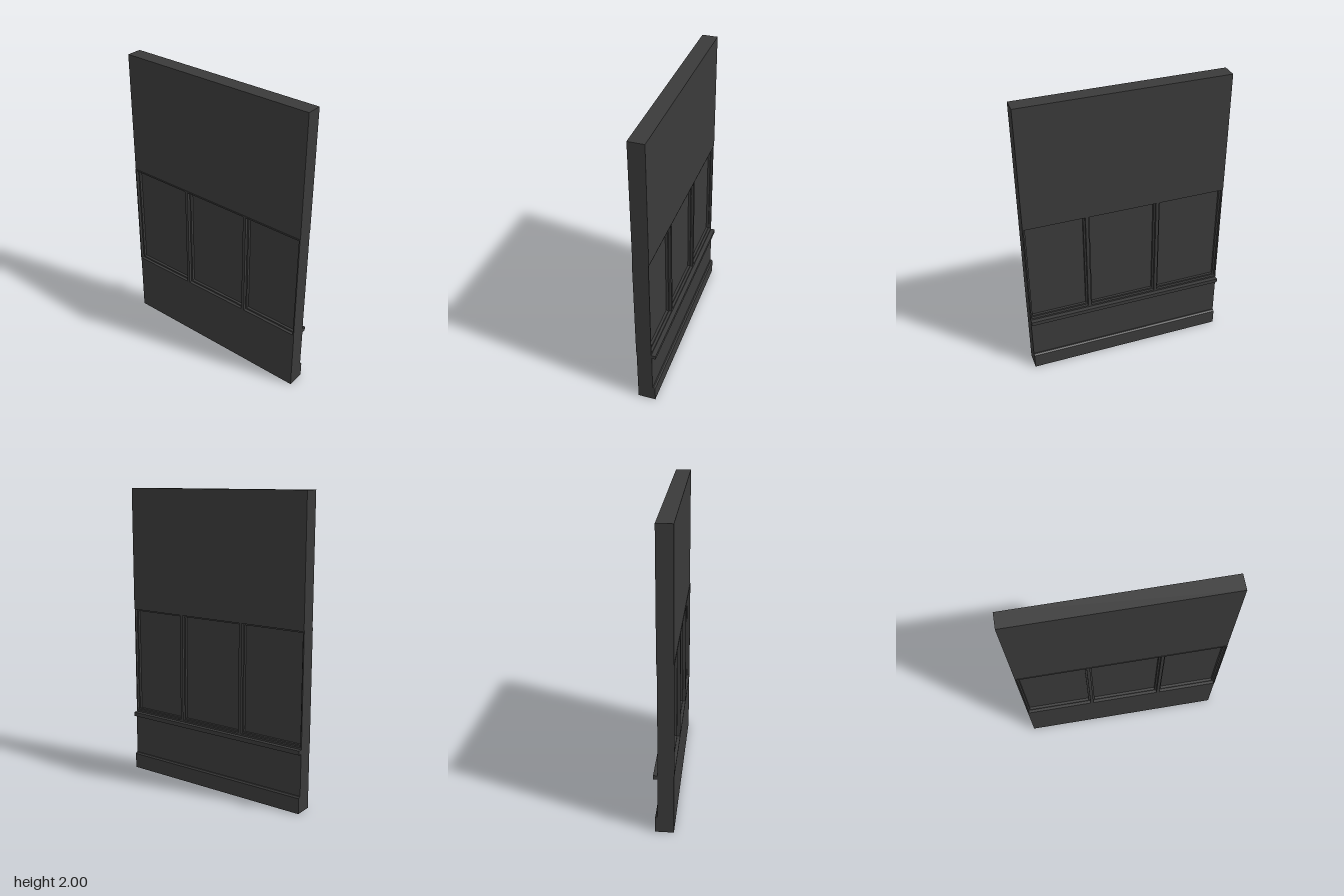
import * as THREE from 'three';

export function createModel() {
  const root = new THREE.Group();
  root.name = 'windowWall';
  const material = new THREE.MeshStandardMaterial({ color: 0x3a3a3a });
  const halfZ = 0.685;

  function add(name, geometry, parent = root) {
    const mesh = new THREE.Mesh(geometry, material);
    mesh.name = name;
    parent.add(mesh);
    return mesh;
  }

  // Box given by its limits on each axis
  function block(name, x0, x1, y0, y1, z0, z1, parent) {
    const mesh = add(name, new THREE.BoxGeometry(x1 - x0, y1 - y0, z1 - z0), parent);
    mesh.position.set((x0 + x1) / 2, (y0 + y1) / 2, (z0 + z1) / 2);
    return mesh;
  }

  // Rectangular outline; u runs along -z once the frame is turned
  function rectangle(Type, u0, u1, y0, y1) {
    return new Type([
      new THREE.Vector2(u0, y0), new THREE.Vector2(u1, y0),
      new THREE.Vector2(u1, y1), new THREE.Vector2(u0, y1),
    ]);
  }

  // Flat frame with rectangular openings, running through the wall from x0 to x1
  function frame(name, outer, openings, x0, x1, parent) {
    const shape = rectangle(THREE.Shape, ...outer);
    for (const o of openings) shape.holes.push(rectangle(THREE.Path, ...o));
    const geometry = new THREE.ExtrudeGeometry(shape, { depth: x1 - x0, bevelEnabled: false });
    geometry.rotateY(Math.PI / 2);
    geometry.translate(x0, 0, 0);
    return add(name, geometry, parent);
  }

  // Solid wall below and above the windows
  block('lowerWall', -0.065, 0.037, 0, 0.42, -halfZ, halfZ);
  block('upperWall', -0.065, 0.037, 1.175, 2, -halfZ, halfZ);

  // Casing with three openings
  const bottom = 0.432, top = 1.165;
  const openings = [[-0.677, -0.276], [-0.255, 0.207], [0.228, 0.677]]
    .map(([u0, u1]) => [u0, u1, bottom, top]);
  frame('windowCasing', [-halfZ, halfZ, 0.42, 1.175], openings, -0.068, 0.034);

  // Sash and pane in each opening
  const rim = 0.011;
  openings.forEach(([u0, u1, y0, y1]) => {
    const windowGroup = new THREE.Group();
    windowGroup.name = 'window';
    root.add(windowGroup);
    const inner = [u0 + rim, u1 - rim, y0 + rim, y1 - rim];
    frame('sash', [u0, u1, y0, y1], [inner], -0.048, 0.017, windowGroup);
    block('pane', -0.03, 0, inner[2], inner[3], -inner[1], -inner[0], windowGroup);
  });

  // Window sill
  block('sill', 0.03, 0.063, 0.392, 0.42, -halfZ, halfZ);

  // Skirting board with a bevelled top edge
  const profile = new THREE.Shape([
    [0.03, 0], [0.054, 0], [0.054, 0.103], [0.045, 0.113], [0.03, 0.113],
  ].map(([x, y]) => new THREE.Vector2(x, y)));
  const skirting = new THREE.ExtrudeGeometry(profile, { depth: halfZ * 2, bevelEnabled: false });
  skirting.translate(0, 0, -halfZ);
  add('skirtingBoard', skirting);

  return root;
}
